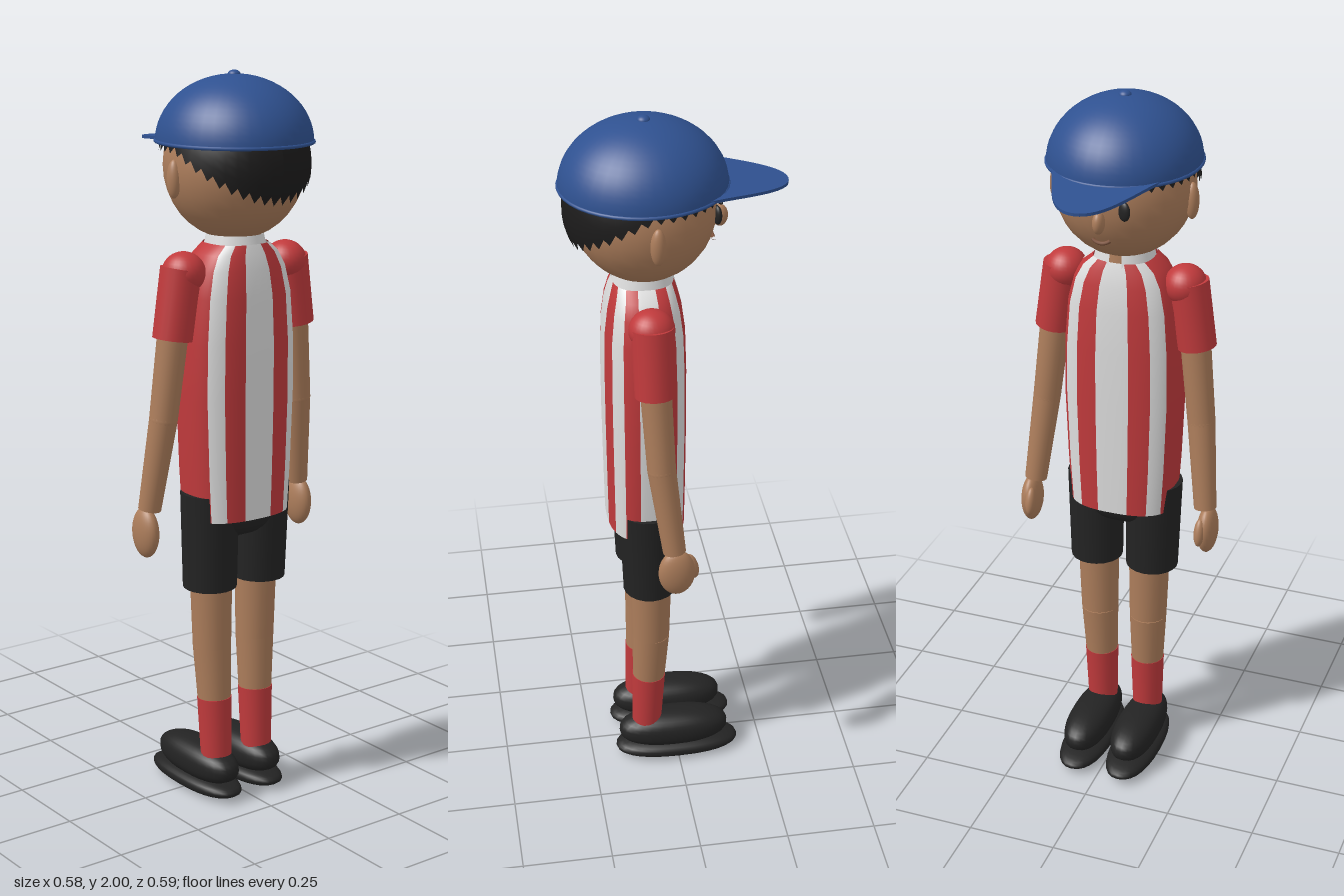
import * as THREE from 'three';
import { mergeVertices } from 'three/addons/utils/BufferGeometryUtils.js';

const mat = (name, color, side = THREE.FrontSide) => {
  const m = new THREE.MeshStandardMaterial({ color, side });
  m.name = name;
  return m;
};

export function createModel() {
  const skin = mat('skin', 0xac7d5b);
  const lipTone = mat('lip', 0x7d523b);
  const blue = mat('cap blue', 0x2f5190, THREE.DoubleSide);
  const red = mat('shirt red', 0xc03a3c, THREE.DoubleSide);
  const white = mat('shirt white', 0xdedede, THREE.DoubleSide);
  const black = mat('black cloth', 0x232323, THREE.DoubleSide);
  const hairTone = mat('hair', 0x1c1b1b, THREE.DoubleSide);
  const root = new THREE.Group();
  root.name = 'capBoy';

  const add = (name, geo, material, x = 0, y = 0, z = 0) => {
    const m = new THREE.Mesh(geo, material);
    m.name = name;
    m.position.set(x, y, z);
    root.add(m);
    return m;
  };
  // Ellipsoid; power below 1 makes it boxier
  const blob = (name, material, [x, y, z], [a, b, c], power = 1) => {
    let g = new THREE.SphereGeometry(1, 28, 18);
    if (power !== 1) {
      g.deleteAttribute('uv');
      g.deleteAttribute('normal');
      const p = g.attributes.position;
      const f = v => Math.sign(v) * Math.abs(v) ** power;
      for (let i = 0; i < p.count; i++) p.setXYZ(i, f(p.getX(i)), f(p.getY(i)), f(p.getZ(i)));
      g = mergeVertices(g, 1e-4);
    }
    g.scale(a, b, c);
    if (power !== 1) g.computeVertexNormals();
    return add(name, g, material, x, y, z);
  };
  // Tapered cylinder from point a (upper) to point b (lower)
  const limb = (name, material, a, b, ra, rb) => {
    const A = new THREE.Vector3(...a), B = new THREE.Vector3(...b);
    const m = add(name, new THREE.CylinderGeometry(ra, rb, A.distanceTo(B), 20), material);
    m.position.copy(A).add(B).multiplyScalar(0.5);
    m.quaternion.setFromUnitVectors(new THREE.Vector3(0, 1, 0), A.sub(B).normalize());
    return m;
  };

  // Striped shirt: superellipse rings [y, half width, half depth]
  const rings = [[0.815, 0.148, 0.106], [0.95, 0.157, 0.108], [1.15, 0.165, 0.11], [1.3, 0.163, 0.11],
    [1.42, 0.153, 0.107], [1.49, 0.136, 0.098], [1.53, 0.113, 0.088], [1.555, 0.082, 0.08]];
  const cols = 64, pos = [], idx = [], rows = rings.length;
  const shirt = new THREE.BufferGeometry();
  const sq = v => Math.sign(v) * Math.abs(v) ** 0.77;
  for (let j = 0; j < cols; j++) {
    const t = j / cols * Math.PI * 2;
    for (const [y, w, d] of rings) pos.push(w * sq(Math.sin(t)), y, 0.08 + d * sq(Math.cos(t)));
  }
  for (let j = 0; j < cols; j++) {
    const stripe = Math.floor((j + 2) / 4) % 16;
    shirt.addGroup(idx.length, (rows - 1) * 6, stripe % 2 || stripe === 12 ? 1 : 0);
    for (let i = 0; i < rows - 1; i++) {
      const a = j * rows + i, b = ((j + 1) % cols) * rows + i;
      idx.push(a, b, b + 1, a, b + 1, a + 1);
    }
  }
  shirt.setAttribute('position', new THREE.Float32BufferAttribute(pos, 3));
  shirt.setIndex(idx);
  shirt.computeVertexNormals();
  add('stripedShirt', shirt, [white, red]);

  // Collar, open at the throat (-z), and neck
  const collar = new THREE.CylinderGeometry(0.076, 0.086, 0.045, 32, 1, true, Math.PI + 0.22, Math.PI * 2 - 0.44);
  add('collar', collar, white, 0, 1.555, 0.078);
  add('neck', new THREE.CylinderGeometry(0.065, 0.075, 0.08, 24), skin, 0, 1.56, 0.078);

  // Head and face
  blob('head', skin, [0, 1.755, 0.075], [0.188, 0.195, 0.188]);
  blob('nose', skin, [0, 1.713, -0.122], [0.016, 0.03, 0.021]);
  const smile = new THREE.TorusGeometry(0.035, 0.005, 8, 16, 1.5);
  smile.rotateZ(-Math.PI / 2 - 0.75);
  add('mouth', smile, lipTone, 0, 1.685, -0.095).rotation.x = 0.3;

  // Hair: cap of a sphere that reaches lower at the back
  const hair = new THREE.SphereGeometry(1, 40, 16);
  const hp = hair.attributes.position;
  for (let i = 0; i < hp.count; i++) {
    const u = hair.attributes.uv.getX(i) * Math.PI * 2, v = 1 - hair.attributes.uv.getY(i);
    const c = Math.cos(u);
    const th = v * THREE.MathUtils.degToRad(80 + 37 * Math.max(0, c) ** 1.2);
    hp.setXYZ(i, 0.198 * Math.sin(th) * Math.sin(u), 0.205 * Math.cos(th), 0.208 * Math.sin(th) * c);
  }
  hair.computeVertexNormals();
  add('hair', hair, hairTone, 0, 1.76, 0.075);

  // Cap: dome, rim, button and brim
  const dome = new THREE.SphereGeometry(1, 40, 16, 0, Math.PI * 2, 0, Math.PI / 2);
  dome.scale(0.203, 0.175, 0.217);
  add('capDome', dome, blue, 0, 1.815, 0.075);
  const rim = new THREE.TorusGeometry(0.205, 0.005, 8, 40);
  rim.rotateX(Math.PI / 2);
  rim.scale(0.985, 1, 1.05);
  add('capRim', rim, blue, 0, 1.818, 0.075);
  blob('capButton', blue, [0, 1.988, 0.073], [0.017, 0.012, 0.017]);
  const brimShape = new THREE.Shape();
  brimShape.moveTo(-0.155, 0.06);
  brimShape.bezierCurveTo(-0.11, 0.13, -0.085, 0.297, 0, 0.297);
  brimShape.bezierCurveTo(0.085, 0.297, 0.11, 0.13, 0.155, 0.06);
  brimShape.quadraticCurveTo(0, 0.15, -0.155, 0.06);
  const brim = new THREE.ExtrudeGeometry(brimShape, { depth: 0.008, bevelEnabled: false, curveSegments: 16 });
  brim.rotateX(-Math.PI / 2);
  const bp = brim.attributes.position;
  for (let i = 0; i < bp.count; i++) bp.setY(i, bp.getY(i) + 0.09 * (bp.getZ(i) + 0.1));
  brim.computeVertexNormals();
  add('capBrim', brim, blue, 0, 1.815, 0);

  // Pelvis of the shorts
  blob('shortsSeat', black, [0, 0.835, 0.08], [0.14, 0.085, 0.085], 0.8);

  // Mirrored parts
  for (const s of [1, -1]) {
    const side = s > 0 ? 'left' : 'right';
    blob(side + 'Ear', skin, [s * 0.187, 1.73, 0.065], [0.018, 0.05, 0.02]);
    blob(side + 'Eye', black, [s * 0.062, 1.745, -0.104], [0.018, 0.026, 0.01]).rotation.y = s * 0.35;
    const brow = blob(side + 'Brow', hairTone, [s * 0.064, 1.793, -0.101], [0.03, 0.008, 0.008]);
    brow.rotation.set(0, s * 0.35, -s * 0.12);

    // Arm
    blob(side + 'Shoulder', red, [s * 0.168, 1.488, 0.08], [0.057, 0.055, 0.06]);
    limb(side + 'Sleeve', red, [s * 0.176, 1.5, 0.08], [s * 0.204, 1.315, 0.078], 0.055, 0.053);
    limb(side + 'UpperArm', skin, [s * 0.195, 1.38, 0.078], [s * 0.225, 1.1, 0.065], 0.042, 0.038);
    blob(side + 'Elbow', skin, [s * 0.225, 1.1, 0.065], [0.038, 0.038, 0.038]);
    limb(side + 'Forearm', skin, [s * 0.225, 1.1, 0.065], [s * 0.251, 0.85, 0.035], 0.038, 0.031);
    blob(side + 'Hand', skin, [s * 0.261, 0.787, 0.03], [0.028, 0.07, 0.05]);
    const thumb = blob(side + 'Thumb', skin, [s * 0.25, 0.795, -0.012], [0.015, 0.04, 0.018]);
    thumb.rotation.x = 0.25;

    // Leg
    limb(side + 'ShortsLeg', black, [s * 0.086, 0.885, 0.082], [s * 0.083, 0.615, 0.078], 0.08, 0.074);
    limb(side + 'Thigh', skin, [s * 0.077, 0.68, 0.074], [s * 0.074, 0.44, 0.075], 0.059, 0.053);
    limb(side + 'Shin', skin, [s * 0.074, 0.44, 0.075], [s * 0.071, 0.28, 0.082], 0.053, 0.046);
    limb(side + 'Sock', red, [s * 0.071, 0.29, 0.082], [s * 0.07, 0.09, 0.09], 0.048, 0.042);

    // Shoe
    blob(side + 'Sole', black, [s * 0.072, 0.03, 0], [0.07, 0.027, 0.18], 0.85);
    blob(side + 'ShoeUpper', black, [s * 0.072, 0.085, 0.01], [0.063, 0.053, 0.16], 0.85);
  }
  root.traverse(o => { if (o.name.endsWith('Sole')) o.position.y = 0.027; });
  return root;
}
